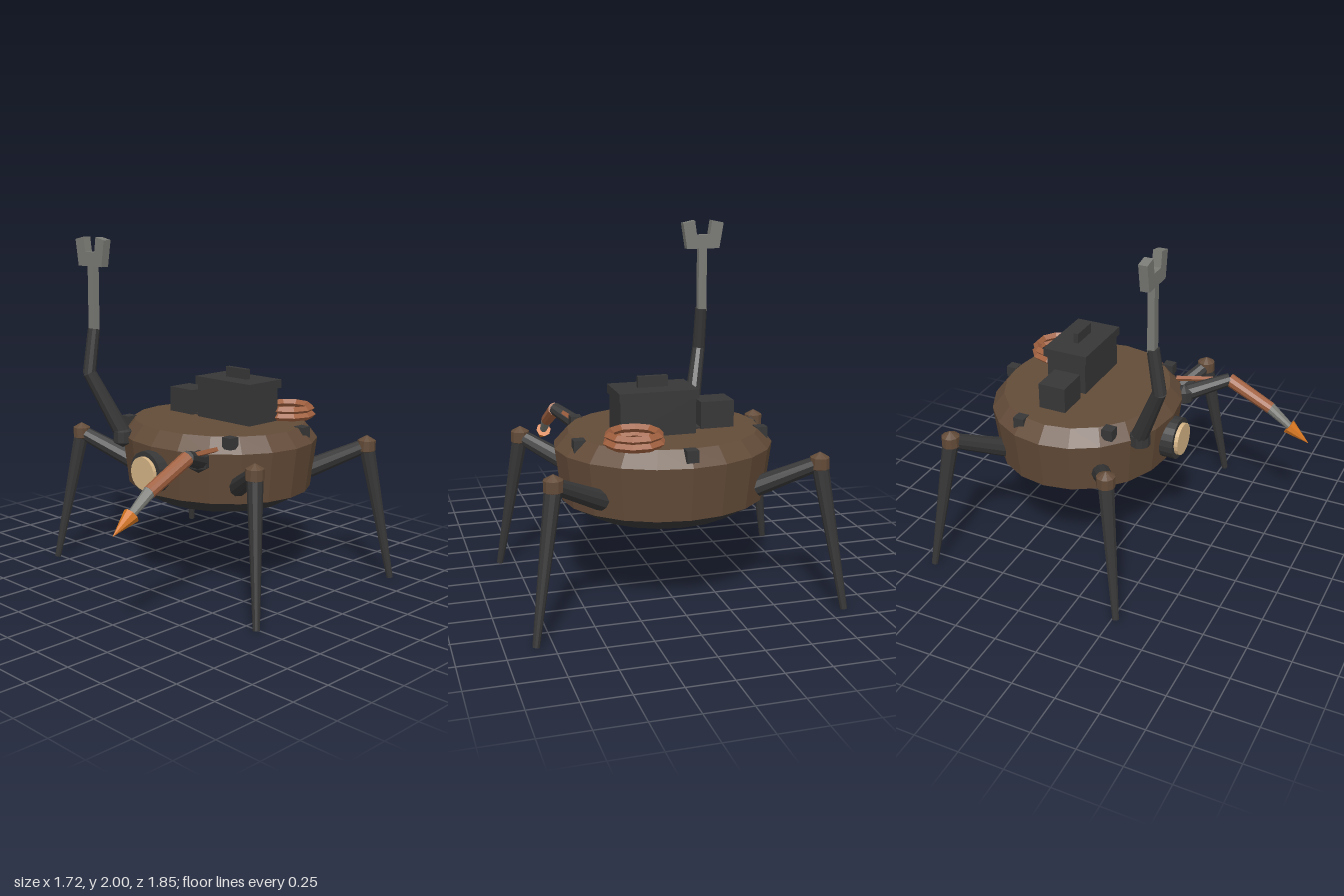
import * as THREE from 'three';

const material = (name, color) => {
  const m = new THREE.MeshStandardMaterial({ color });
  m.name = name;
  return m;
};

export function createModel() {
  const root = new THREE.Group();
  root.name = 'walkerRobot';

  const brown = material('brown shell', 0x634b38);
  const dark = material('dark metal', 0x373737);
  const copper = material('copper', 0xa0603f);
  const grey = material('grey steel', 0x7a7a75);
  const orange = material('orange', 0xd4741e);
  const cream = material('cream lens', 0xd6b586);

  // Faceted mesh at a position
  const add = (name, geo, mat, x = 0, y = 0, z = 0) => {
    const g = geo.index ? geo.toNonIndexed() : geo;
    g.computeVertexNormals();
    const mesh = new THREE.Mesh(g, mat);
    mesh.name = name;
    mesh.position.set(x, y, z);
    root.add(mesh);
    return mesh;
  };
  const box = (name, mat, x0, x1, y0, y1, z0, z1) =>
    add(name, new THREE.BoxGeometry(x1 - x0, y1 - y0, z1 - z0), mat,
      (x0 + x1) / 2, (y0 + y1) / 2, (z0 + z1) / 2);
  // Tapered limb between two points
  const limb = (name, mat, a, b, ra, rb, sides = 10) => {
    const p = new THREE.Vector3(...a), q = new THREE.Vector3(...b);
    const d = q.clone().sub(p);
    const mid = p.clone().add(q).multiplyScalar(0.5);
    const mesh = add(name, new THREE.CylinderGeometry(rb, ra, d.length(), sides), mat, mid.x, mid.y, mid.z);
    mesh.quaternion.setFromUnitVectors(new THREE.Vector3(0, 1, 0), d.normalize());
    return mesh;
  };
  const joint = (name, mat, x, y, z, r) => add(name, new THREE.SphereGeometry(r, 10, 3), mat, x, y, z);

  // Oval hull, turned from a profile and squeezed front to back
  const hull = (name, mat, profile) => {
    const geo = new THREE.LatheGeometry(profile.map(p => new THREE.Vector2(...p)), 20, Math.PI / 2);
    geo.scale(1, 1, 0.9);
    add(name, geo, mat, 0, 0, -0.305);
  };
  hull('lowerHull', dark, [[0, 0.47], [0.42, 0.47], [0.57, 0.555]]);
  hull('upperHull', brown, [[0.57, 0.555], [0.607, 0.845], [0.53, 0.93], [0, 0.93]]);

  // Rim blocks
  for (const [x, z] of [[0, -0.808], [0.51, -0.465], [-0.51, -0.465], [0.418, 0.035], [-0.418, 0.035]])
    box('rimBlock', dark, x - 0.032, x + 0.032, 0.87, 0.935, z - 0.032, z + 0.032);

  // Front lamp
  limb('lampHousing', dark, [0, 0.7, 0.1], [0, 0.7, 0.285], 0.123, 0.123, 20);
  limb('lampLens', cream, [0, 0.7, 0.2], [0, 0.7, 0.308], 0.095, 0.095, 20);

  // Cargo on the deck
  box('toolCrate', dark, -0.127, 0.29, 0.925, 1.13, -0.5, -0.258);
  box('crateLid', dark, -0.137, 0.3, 1.125, 1.175, -0.52, -0.245);
  box('crateHandle', dark, 0, 0.167, 1.17, 1.235, -0.395, -0.365);
  box('sideBox', dark, -0.37, -0.18, 0.925, 1.08, -0.425, -0.262);
  box('boxConnector', dark, -0.2, -0.12, 0.92, 0.94, -0.415, -0.29);

  // Coiled cable
  for (const [y, r] of [[0.95, 0.142], [0.988, 0.135]]) {
    const ring = add('cableCoil', new THREE.TorusGeometry(r, 0.024, 4, 10), copper, 0.255, y, -0.637);
    ring.rotation.x = Math.PI / 2;
  }

  // Four legs
  for (const s of [1, -1]) {
    for (const [zHip, zKnee, zFoot] of [[-0.015, 0.16, 0.27], [-0.63, -0.804, -0.908]]) {
      limb('upperLeg', dark, [s * 0.43, 0.645, zHip], [s * 0.716, 0.805, zKnee], 0.056, 0.042);
      limb('lowerLeg', dark, [s * 0.716, 0.8, zKnee], [s * 0.84, 0.003, zFoot], 0.046, 0.019);
      joint('knee', brown, s * 0.716, 0.805, zKnee, 0.06);
    }
  }

  // Raised claw arm
  joint('clawShoulder', dark, -0.315, 0.845, 0.175, 0.066);
  limb('clawLowerArm', dark, [-0.315, 0.845, 0.165], [-0.42, 1.23, 0.335], 0.05, 0.038);
  limb('clawUpperArm', dark, [-0.42, 1.22, 0.335], [-0.42, 1.478, 0.295], 0.038, 0.035);
  box('clawRod', grey, -0.446, -0.396, 1.46, 1.85, 0.273, 0.313);
  const claw = new THREE.Shape([[-0.1, 1.835], [0.1, 1.835], [0.125, 1.985], [0.053, 2],
    [0.04, 1.915], [-0.04, 1.915], [-0.053, 2], [-0.125, 1.985]].map(p => new THREE.Vector2(...p)));
  add('claw', new THREE.ExtrudeGeometry(claw, { depth: 0.05, bevelEnabled: false }), grey, -0.421, 0, 0.267);

  // Drill arm
  joint('drillShoulder', dark, 0.315, 0.805, 0.175, 0.066);
  limb('drillUpperArm', dark, [0.315, 0.805, 0.165], [0.462, 0.89, 0.41], 0.05, 0.038);
  limb('drillForearm', copper, [0.462, 0.888, 0.405], [0.46, 0.755, 0.675], 0.04, 0.036);
  limb('drillShaft', grey, [0.46, 0.758, 0.67], [0.46, 0.645, 0.82], 0.035, 0.02);
  limb('drillTip', orange, [0.46, 0.66, 0.795], [0.46, 0.575, 0.92], 0.046, 0.001, 8);
  limb('armCable', copper, [0.375, 0.868, 0.1], [0.428, 0.885, 0.315], 0.016, 0.016, 4);

  return root;
}
